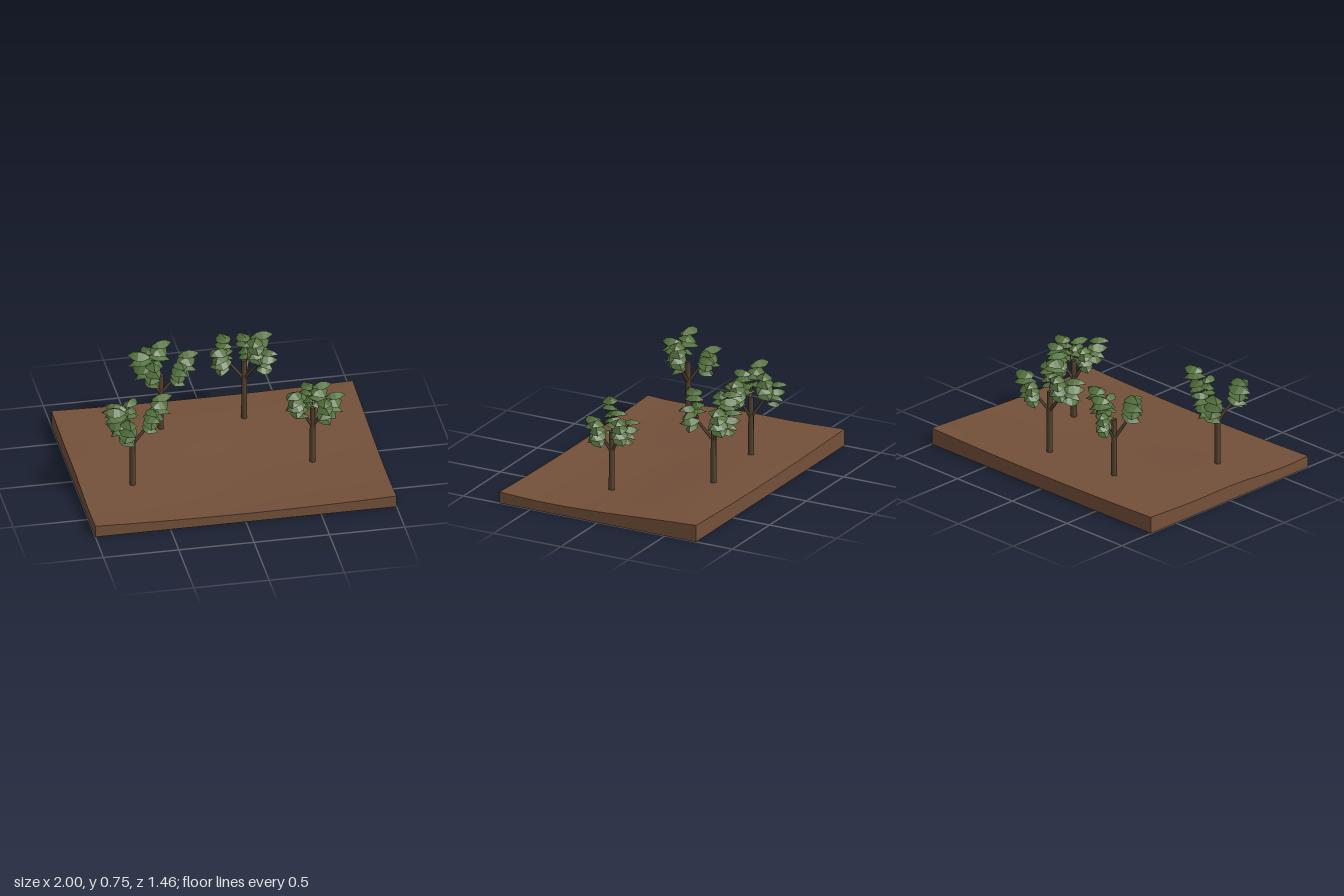
import * as THREE from 'three';
import { mergeGeometries } from 'three/addons/utils/BufferGeometryUtils.js';

const soil = new THREE.MeshStandardMaterial({ color: 0x73503a });
soil.name = 'soil';
const bark = new THREE.MeshStandardMaterial({ color: 0x53412f });
bark.name = 'bark';
const foliage = new THREE.MeshStandardMaterial({ color: 0x54703e, side: THREE.DoubleSide });
foliage.name = 'leafGreen';

// gentle height field: cubic rise to the back, a swell on the right, a dip along the middle
function groundHeight(x, z) {
  const t = (0.73 - z) / 1.46;
  const rise = 0.08 - 0.119 * t + 0.288 * t * t - 0.134 * t * t * t;
  const swell = 0.027 * Math.min(1, Math.max(0, -1.6 * x)) * Math.exp(-(((z - 0.08) / 0.35) ** 2));
  const dip = 0.018 * (1 - x * x) * Math.min(1, ((z + 0.4) / 0.36) ** 2);
  return rise + swell - dip;
}

function makeGround() {
  const geo = new THREE.BoxGeometry(2, 1, 1.46, 16, 1, 12);
  const p = geo.attributes.position;
  for (let i = 0; i < p.count; i++) {
    p.setY(i, p.getY(i) > 0 ? groundHeight(p.getX(i), p.getZ(i)) : 0);
  }
  geo.computeVertexNormals();
  const mesh = new THREE.Mesh(geo, soil);
  mesh.name = 'ground';
  return mesh;
}

// tapered limb between two points
function limb(a, b, r0, r1, sides = 6) {
  const dir = b.clone().sub(a);
  const geo = new THREE.CylinderGeometry(r1, r0, dir.length(), sides);
  geo.applyQuaternion(new THREE.Quaternion().setFromUnitVectors(
    new THREE.Vector3(0, 1, 0), dir.clone().normalize()));
  const mid = a.clone().add(b).multiplyScalar(0.5);
  return geo.translate(mid.x, mid.y, mid.z);
}

// arched, folded oval leaf along +x, base at the origin, length 1
function leafGeometry() {
  const widths = [0.05, 0.3, 0.38, 0.27, 0.02];
  const lift = [0, 0.12, 0.12, 0.02, -0.2];
  const geo = new THREE.PlaneGeometry(1, 1, 4, 2).rotateX(-Math.PI / 2);
  const p = geo.attributes.position;
  for (let i = 0; i < p.count; i++) {
    const col = i % 5, side = Math.floor(i / 5) - 1;
    p.setXYZ(i, col / 4 - 0.06 * Math.abs(side), lift[col] - 0.65 * Math.abs(side) * widths[col],
      side * widths[col]);
  }
  const flat = geo.toNonIndexed();
  flat.computeVertexNormals();
  return flat;
}
const leaf = leafGeometry();

// stacked leaves around a twig end, fanning outward, from the lowest to the top one
const stack = [
  { scale: 0.9, turn: 0.55, roll: 0.2, pitch: -0.1 },
  { scale: 1.05, turn: -0.5, roll: -0.25, pitch: 0 },
  { scale: 1.05, turn: 0.3, roll: 0.2, pitch: 0.05 },
  { scale: 1.0, turn: -0.1, roll: -0.1, pitch: 0.2 },
];

function leafStack(fork, tip, size) {
  const heading = Math.atan2(-(tip.z - fork.z), tip.x - fork.x);
  return stack.map(({ scale, turn, roll, pitch }, i) => {
    const s = size * scale, angle = heading + turn, below = stack.length - 1 - i;
    return leaf.clone().scale(s, s, s * 1.05).rotateX(roll).rotateZ(pitch).rotateY(angle).translate(
      tip.x - Math.cos(angle) * s * 0.45 - Math.cos(heading) * 0.01 * below,
      tip.y - 0.027 - below * 0.04,
      tip.z + Math.sin(angle) * s * 0.45 + Math.sin(heading) * 0.01 * below);
  });
}

// each branch is a pair of twig tips: [x, z, topY, leafSize]
const trees = [
  { x: -0.655, z: 0.24, top: 0.52, branches: [
    [[-0.64, 0.09, 0.63, 0.12], [-0.74, 0.12, 0.62, 0.15]],
    [[-0.46, 0.215, 0.72, 0.14], [-0.53, 0.28, 0.65, 0.12]],
    [[-0.71, 0.39, 0.64, 0.14], [-0.79, 0.31, 0.7, 0.15]]] },
  { x: -0.34, z: -0.4, top: 0.5, branches: [
    [[-0.4, -0.57, 0.62, 0.11], [-0.32, -0.51, 0.69, 0.14]],
    [[-0.165, -0.385, 0.67, 0.14], [-0.225, -0.33, 0.62, 0.12]],
    [[-0.41, -0.295, 0.65, 0.13], [-0.49, -0.375, 0.7, 0.15]]] },
  { x: 0.22, z: -0.43, top: 0.53, branches: [
    [[0.24, -0.58, 0.64, 0.12], [0.35, -0.53, 0.67, 0.15]],
    [[0.36, -0.315, 0.66, 0.12], [0.27, -0.31, 0.75, 0.14]],
    [[0.04, -0.38, 0.66, 0.14], [0.09, -0.49, 0.7, 0.13]]] },
  { x: 0.56, z: 0.14, top: 0.46, branches: [
    [[0.55, 0, 0.57, 0.11], [0.635, 0.045, 0.59, 0.13]],
    [[0.7, 0.175, 0.58, 0.13], [0.62, 0.245, 0.57, 0.13]],
    [[0.42, 0.23, 0.64, 0.13], [0.47, 0.145, 0.58, 0.12]]] },
];

function makeTree({ x, z, top, branches }) {
  const tree = new THREE.Group();
  tree.name = 'tree';
  const add = (name, geo, mat) => {
    const mesh = new THREE.Mesh(geo, mat);
    mesh.name = name;
    tree.add(mesh);
  };
  const base = new THREE.Vector3(x, groundHeight(x, z) - 0.005, z);
  add('trunk', limb(base, new THREE.Vector3(x, top, z), 0.02, 0.018, 8), bark);

  const wood = [], leaves = [];
  const start = new THREE.Vector3(x, top - 0.14, z);
  for (const pair of branches) {
    const tips = pair.map(([tx, tz, ty]) => new THREE.Vector3(tx, ty, tz));
    const mid = tips[0].clone().add(tips[1]).multiplyScalar(0.5);
    const fork = start.clone().lerp(mid, 0.68);
    fork.y = top;
    wood.push(limb(start, fork, 0.012, 0.009));
    tips.forEach((tip, i) => {
      const end = tip.clone().lerp(fork, 0.15);
      end.y = tip.y - 0.03;
      wood.push(limb(fork, end, 0.007, 0.004, 5));
      leaves.push(...leafStack(fork, tip, pair[i][3]));
    });
  }
  add('branches', mergeGeometries(wood), bark);
  add('leaves', mergeGeometries(leaves), foliage);
  return tree;
}

export function createModel() {
  const model = new THREE.Group();
  model.name = 'treePlot';
  model.add(makeGround());
  for (const spec of trees) model.add(makeTree(spec));
  return model;
}
